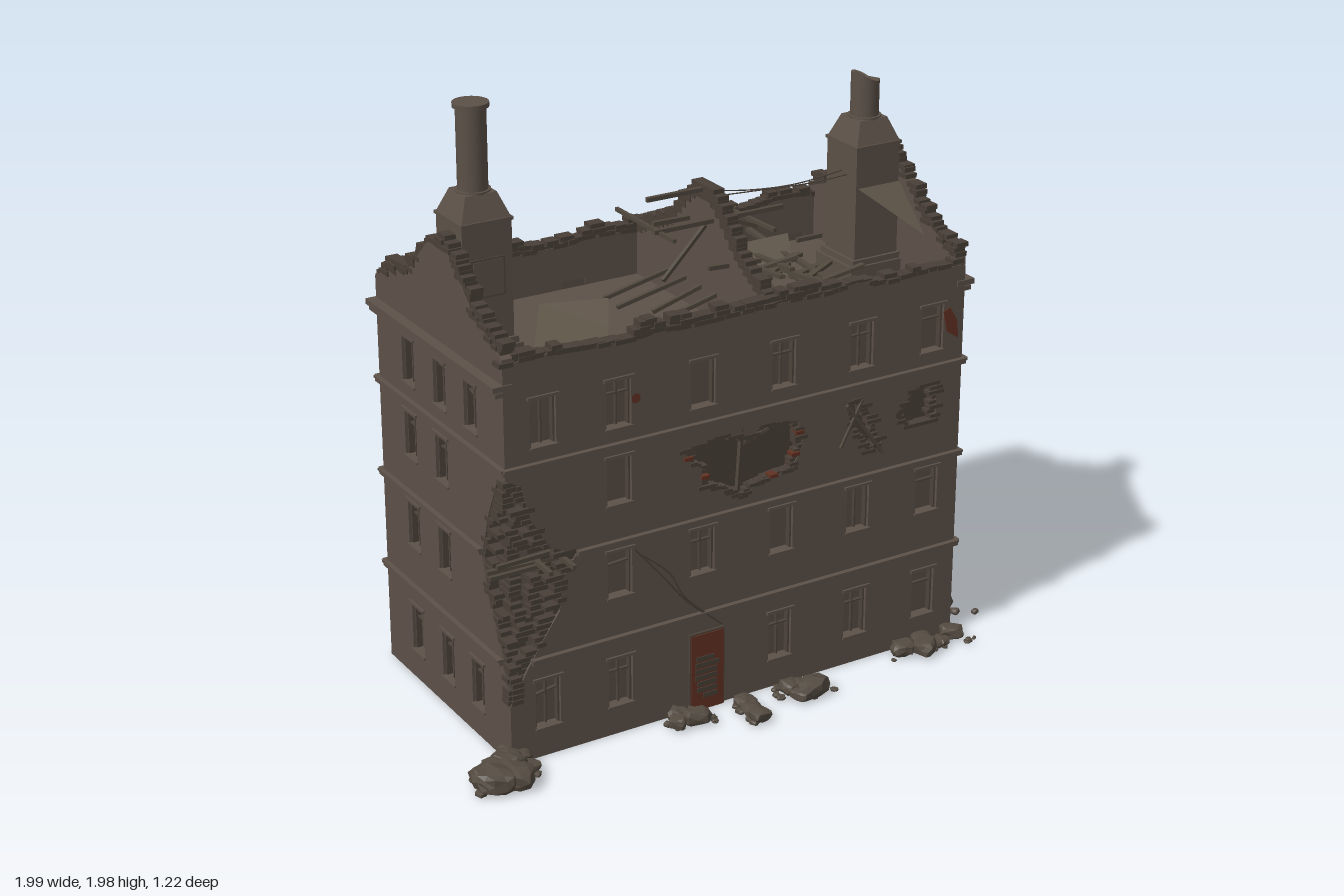
import * as THREE from 'three';
import { mergeGeometries } from 'three/addons/utils/BufferGeometryUtils.js';

const mat = (name, color, o = {}) => Object.assign(new THREE.MeshStandardMaterial({ color, ...o }), { name });

export function createModel() {
  const M = {
    wall: mat('plaster', 0x5c5148), brick: mat('bare brick', 0x483f37), pane: mat('window pane', 0x574c43),
    frame: mat('window frame', 0x4c423a), timber: mat('timber', 0x50483d), chimney: mat('chimney', 0x5b5047),
    rock: mat('rubble', 0x544b41, { flatShading: true }), sheet: mat('roof sheet', 0x5f5549, { side: THREE.DoubleSide }),
    rust: mat('rust', 0x623223), base: mat('foundation', 0x442218),
  };
  let seed = 11;
  const rnd = (a = 0, b = 1) => { seed = (seed * 16807) % 2147483647; return a + (b - a) * seed / 2147483647; };
  const root = new THREE.Group();
  root.name = 'ruinedTenement';
  const add = (parent, name, geo, m, x = 0, y = 0, z = 0) => {
    const mesh = new THREE.Mesh(geo, m);
    mesh.name = name; mesh.position.set(x, y, z); parent.add(mesh);
    return mesh;
  };
  const box = (w, h, d, x, y, z, rot = 0) => new THREE.BoxGeometry(w, h, d).rotateZ(rot).translate(x, y, z);
  const shapeOf = pts => new THREE.Shape(pts.map(p => new THREE.Vector2(p[0], p[1])));
  const slab = (shape, d) => new THREE.ExtrudeGeometry(shape, { depth: d, bevelEnabled: false });
  // straight bar between two points
  const bar = (a, b, w, h = w) => {
    const p = new THREE.Vector3(...a), q = new THREE.Vector3(...b);
    const m = new THREE.Matrix4().lookAt(q, p, new THREE.Vector3(0.01, 1, 0.02));
    return new THREE.BoxGeometry(w, h, p.distanceTo(q)).applyMatrix4(m)
      .translate((a[0] + b[0]) / 2, (a[1] + b[1]) / 2, (a[2] + b[2]) / 2);
  };
  // u position of a ragged edge at height y
  const edgeAt = (bite, y, fallback) => {
    for (let i = 0; i + 1 < bite.length; i++) {
      const [u0, y0] = bite[i], [u1, y1] = bite[i + 1];
      if ((y - y0) * (y - y1) <= 0 && y0 !== y1) return u0 + (u1 - u0) * (y - y0) / (y1 - y0);
    }
    return fallback;
  };

  // One facade: local u to the right, y up, outer face at z = 0
  const T = 0.04;
  function facade(name, pos, rot, u0, u1, top, left, right, windows, holes = []) {
    const g = new THREE.Group();
    g.name = name; g.position.set(...pos); g.rotation.y = rot; root.add(g);
    const shape = shapeOf([[u0, 0], [u1, 0], ...right, ...top, ...left]);
    const frames = [], panes = [], bricks = [], bands = [];
    for (const [u, y, w, h] of windows) {
      shape.holes.push(new THREE.Path([[-1, 0], [-1, 1], [1, 1], [1, 0]].map(c => new THREE.Vector2(u + c[0] * w / 2, y + c[1] * h))));
      panes.push(box(w, h, 0.006, u, y + h / 2, -0.034));
      for (const s of [-1, 1]) frames.push(box(0.006, h, 0.02, u + s * (w / 2 - 0.003), y + h / 2, -0.02));
      frames.push(box(w, 0.006, 0.02, u, y + h - 0.003, -0.02));
      // some glazing bars are missing or hang askew
      if (rnd() < 0.7) frames.push(box(w * 0.92, 0.005, 0.012, u, y + h * 0.7, -0.022, rnd() < 0.3 ? rnd(-0.3, 0.3) : 0));
      if (rnd() < 0.75) frames.push(box(0.005, h * 0.96, 0.012, u, y + h / 2, -0.022));
      bands.push(box(w + 0.02, 0.01, 0.014, u, y + h + 0.007, 0), box(w + 0.01, 0.006, 0.012, u, y - 0.003, 0));
    }
    // blasted holes with broken brick rims
    for (const pts of holes) {
      shape.holes.push(new THREE.Path(pts.map(p => new THREE.Vector2(...p))));
      pts.forEach((p, i) => {
        const q = pts[(i + 1) % pts.length], n = Math.ceil(Math.hypot(q[0] - p[0], q[1] - p[1]) / 0.018);
        for (let k = 0; k < n; k++) bricks.push(box(rnd(0.025, 0.06), 0.012, 0.03,
          p[0] + (q[0] - p[0]) * k / n, p[1] + (q[1] - p[1]) * k / n, -0.016 + rnd(-0.006, 0.006)));
      });
    }
    // ragged corner courses
    for (const [bite, s] of [[left, -1], [right, 1]]) {
      if (!bite.length) continue;
      const ys = bite.map(p => p[1]);
      for (let y = Math.min(...ys) + 0.01; y < Math.max(...ys); y += 0.019) {
        const e = edgeAt(bite, y, 0), room = Math.abs((s < 0 ? u0 : u1) - e);
        const w = Math.min(rnd(0.03, 0.09), room + 0.025);
        bricks.push(box(w, 0.015, 0.04, e + s * (w / 2 - 0.02), y, -0.024 + rnd(-0.004, 0.006)));
        if (room > 0.1) bricks.push(box(rnd(0.04, 0.08), 0.015, 0.04, e + s * 0.06, y, -0.05 + rnd(-0.006, 0.004)));
      }
    }
    for (const y of [0.33, 0.655, 0.975]) {
      const a = edgeAt(left, y, u0 - 0.01), b = edgeAt(right, y, u1 + 0.01);
      bands.push(box(b - a, 0.013, 0.024, (a + b) / 2, y, 0), box(b - a, 0.007, 0.034, (a + b) / 2, y + 0.01, 0));
    }
    // loose bricks along the broken top
    const crest = [[u1, top[0][1]], ...top, [u0, top[top.length - 1][1]]].map(p => [p[1], p[0]]);
    for (let u = u0 + 0.02; u < u1 - 0.01; u += 0.027) {
      const y = edgeAt(crest, u, 1.32), n = Math.floor(rnd(1, Math.abs(u) < 0.4 ? 3.9 : 2.4));
      for (let k = 0; k < n; k++) bricks.push(box(rnd(0.03, 0.055), 0.015, 0.042, u + rnd(-0.01, 0.01), y + k * 0.016, -0.02 + rnd(-0.005, 0.005)));
    }
    add(g, 'wall', slab(shape, T), M.wall, 0, 0, -T);
    add(g, 'windowPanes', mergeGeometries(panes), M.pane);
    add(g, 'windowFrames', mergeGeometries(frames), M.frame);
    add(g, 'bandsAndSills', mergeGeometries(bands), M.wall);
    add(g, 'brokenBricks', mergeGeometries(bricks), M.brick);
    return g;
  }

  const rows = [[0.1, 0.16], [0.475, 0.15], [0.785, 0.15], [1.035, 0.15]];
  const grid = (cols, skip, w = 0.085) => rows.flatMap(([y, h], r) =>
    cols.map((u, c) => [u, y, w, h, r + ':' + c]).filter(v => !skip.includes(v[4])));
  const cols = [-0.685, -0.43, -0.135, 0.155, 0.445, 0.715];
  const ragged = (u0, u1) => Array.from({ length: 17 }, (_, i) => [u1 + (u0 - u1) * i / 16, 1.315 + rnd(-0.015, 0.012)]);

  // Long facades
  const front = facade('frontFacade', [0, 0, 0.39], 0, -0.815, 0.835, ragged(-0.815, 0.835),
    [[-0.815, 0.95], [-0.76, 0.92], [-0.73, 0.8], [-0.67, 0.7], [-0.58, 0.655], [-0.63, 0.58], [-0.64, 0.48], [-0.71, 0.38], [-0.76, 0.3], [-0.815, 0.2]], [],
    grid(cols, ['0:2', '1:0', '2:0', '2:2', '2:3', '2:4', '2:5']),
    [[[-0.2, 0.9], [-0.18, 0.86], [-0.14, 0.83], [-0.14, 0.77], [-0.06, 0.74], [0.01, 0.7], [0.06, 0.73], [0.19, 0.75], [0.23, 0.82], [0.21, 0.91], [0.08, 0.92], [0.03, 0.89], [-0.05, 0.92]],
      [[0.42, 0.82], [0.48, 0.74], [0.53, 0.76], [0.49, 0.86], [0.45, 0.93], [0.39, 0.92]],
      [[0.58, 0.84], [0.63, 0.79], [0.74, 0.79], [0.74, 0.92], [0.66, 0.92]]]);
  facade('backFacade', [0, 0, -0.44], Math.PI, -0.835, 0.815, ragged(-0.835, 0.815),
    [[-0.835, 0.96], [-0.77, 0.92], [-0.71, 0.8], [-0.65, 0.68], [-0.7, 0.56], [-0.77, 0.44], [-0.835, 0.37]], [],
    grid(cols.map(u => -u).reverse(), ['1:0', '2:0']));

  // Gable ends, with u running toward the back on the right side
  const gable = (a, b, m) => [[b, 1.33], [m + 0.2, 1.42], [m + 0.09, 1.53], [m + 0.05, 1.56], [m - 0.05, 1.56], [m - 0.09, 1.53], [m - 0.2, 1.42], [a, 1.33]];
  const rightSide = facade('rightGable', [0.835, 0, 0], Math.PI / 2, -0.388, 0.438, gable(-0.388, 0.438, 0),
    [[-0.388, 0.97], [-0.27, 0.95], [-0.26, 0.8], [-0.19, 0.67], [-0.23, 0.55], [-0.27, 0.35], [-0.388, 0.34]],
    [[0.438, 0.36], [0.405, 0.45], [0.4, 0.62], [0.425, 0.66], [0.4, 0.8], [0.41, 0.95], [0.438, 0.97]],
    grid([-0.18, 0.02, 0.23], ['1:0', '2:0'], 0.08));
  const leftSide = facade('leftGable', [-0.815, 0, 0], -Math.PI / 2, -0.438, 0.388, gable(-0.438, 0.388, 0), [],
    [[0.388, 0.2], [0.34, 0.35], [0.27, 0.5], [0.23, 0.64], [0.28, 0.8], [0.34, 0.93], [0.388, 0.95]],
    grid([-0.23, -0.02, 0.18], ['1:2', '2:2'], 0.08));
  for (const [g, c] of [[rightSide, 0.025], [leftSide, -0.025]]) {
    add(g, 'corniceLower', box(0.83, 0.015, 0.04, c, 1.222, 0.005), M.wall);
    add(g, 'corniceUpper', box(0.84, 0.018, 0.065, c, 1.243, 0.002), M.wall);
  }

  // Brick core with cut corners in the damaged storeys
  const core = (y0, y1, fl, fr, br) => {
    const a = -0.774, b = 0.794, n = -0.399, f = 0.349;
    const s = shapeOf([[a + fl, -f], [b - fr, -f], [b, -f + fr], [b, -n - br], [b - br, -n], [a, -n], [a, -f + fl]]);
    add(root, 'brickCore', slab(s, y1 - y0).rotateX(-Math.PI / 2), M.brick, 0, y0, 0);
  };
  core(0.01, 0.33, 0.01, 0.01, 0.01);
  core(0.33, 0.655, 0.1, 0.05, 0.07);
  core(0.655, 0.97, 0.1, 0.05, 0.07);
  core(0.97, 1.15, 0.01, 0.01, 0.01);
  add(root, 'atticFloor', box(1.57, 0.012, 0.75, 0.01, 1.156, -0.025), M.wall);
  add(root, 'foundation', box(1.57, 0.012, 0.75, 0.01, 0.008, -0.025), M.base);

  // Cross wall in the attic
  const cross = new THREE.Group();
  cross.name = 'crossWall'; cross.position.x = 0.14; cross.rotation.y = Math.PI / 2; root.add(cross);
  add(cross, 'crossWallBody', slab(shapeOf([[-0.35, 1.15], [0.4, 1.15], ...gable(-0.35, 0.4, 0).map(p => [p[0], p[1] - 0.02])]), 0.035), M.wall, 0, 0, -0.0375);
  const loose = [];
  for (let u = -0.34; u < 0.4; u += 0.027) {
    const y = edgeAt(gable(-0.35, 0.4, 0).map(p => [p[1], p[0]]), u, 1.33) - 0.015;
    for (let k = 0; k < rnd(1, 3); k++) loose.push(box(0.045, 0.015, 0.04, u, y + k * 0.016, -0.02));
  }
  add(cross, 'crossWallBricks', mergeGeometries(loose), M.brick);

  // Chimneys
  for (const [name, x, broken] of [['leftChimney', -0.693, false], ['rightChimney', 0.707, true]]) {
    const g = new THREE.Group();
    g.name = name; g.position.x = x; root.add(g);
    add(g, 'plinth', box(0.21, 0.08, 0.2, 0, 1.2, 0), M.chimney);
    add(g, 'plinthStep', box(0.188, 0.02, 0.184, 0, 1.25, 0), M.chimney);
    add(g, 'stack', box(0.165, 0.42, 0.165, 0, 1.42, 0), M.chimney);
    add(g, 'collar', box(0.174, 0.01, 0.174, 0, 1.632, 0), M.chimney);
    const taper = new THREE.CylinderGeometry(0.052 * Math.SQRT2, 0.082 * Math.SQRT2, 0.075, 4).toNonIndexed();
    taper.computeVertexNormals();
    add(g, 'taper', taper.rotateY(Math.PI / 4), M.chimney, 0, 1.673, 0);
    add(g, 'potRing', new THREE.CylinderGeometry(0.054, 0.054, 0.01, 24), M.chimney, 0, 1.71, 0);
    const pot = new THREE.CylinderGeometry(0.046, 0.046, broken ? 0.13 : 0.27, 24);
    if (broken) {
      const p = pot.attributes.position;
      for (let i = 0; i < p.count; i++) if (p.getY(i) > 0) p.setY(i, 0.066 - p.getX(i) * 0.4 + Math.sin(p.getZ(i) * 90) * 0.006);
    } else add(g, 'potLip', new THREE.CylinderGeometry(0.055, 0.055, 0.014, 24), M.chimney, 0, 1.972, 0);
    add(g, 'pot', pot, M.chimney, 0, broken ? 1.775 : 1.84, 0);
    for (const s of broken ? [] : [-1, 1]) {
      add(g, 'panelFrame', box(0.112, 0.122, 0.006, 0, 1.46, s * 0.083), M.frame);
      add(g, 'panel', box(0.1, 0.11, 0.008, 0, 1.46, s * 0.084), M.chimney);
    }
  }

  // Collapsed roof timbers
  const sticks = [
    bar([-0.1, 1.57, 0], [0.13, 1.57, 0], 0.014), bar([-0.11, 1.485, 0.06], [0.36, 1.485, 0.06], 0.014),
    bar([-0.03, 1.455, -0.08], [0.28, 1.45, -0.08], 0.014), bar([-0.09, 1.33, 0.08], [0.08, 1.47, 0.05], 0.012),
    bar([0.12, 1.49, 0.02], [0.29, 1.42, 0.02], 0.012), bar([0.03, 1.37, 0.15], [0.22, 1.36, 0.15], 0.014),
    bar([-0.09, 1.48, -0.2], [-0.09, 1.48, 0.15], 0.012), bar([0.2, 1.48, -0.2], [0.24, 1.47, 0.2], 0.012)];
  for (let i = 0; i < 6; i++) sticks.push(bar([-0.17 + rnd(0, 0.12), 1.19, -0.2 + i * 0.09], [0.12, 1.25, -0.19 + i * 0.09], 0.013));
  for (let i = 0; i < 30; i++) {
    const x = rnd(0.22, 0.55), z = rnd(-0.28, 0.23), a = i % 2 ? rnd(-0.3, 0.3) : rnd(1.3, 1.9), l = rnd(0.08, 0.18);
    const dx = Math.cos(a) * l * 0.8, dz = Math.sin(a) * l, y = rnd(1.18, 1.25);
    sticks.push(bar([x - dx, y, z - dz], [x + dx, y + rnd(-0.03, 0.05), z + dz], 0.02, 0.012));
  }
  for (const z of [-0.33, 0.24]) for (const x of [-0.72, 0.73]) sticks.push(bar([x - 0.05, 1.19, z], [x + 0.05, 1.19, z], 0.014));
  // joists sticking out of the broken corners
  for (const [y, l] of [[0.64, 0.3], [0.632, 0.2], [0.668, 0.24]]) sticks.push(bar([-0.87 + rnd(0, 0.05), y, 0.33 + rnd(0, 0.05)], [-0.87 + l, y, 0.36], 0.013));
  for (const x of [-0.7, -0.62]) sticks.push(bar([x, 0.65, 0.1], [x, 0.645, 0.45], 0.014));
  sticks.push(bar([0, 0.69, 0.37], [0.005, 0.93, 0.385], 0.012), bar([0.005, 0.87, 0.375], [0.1, 0.91, 0.39], 0.01),
    bar([0.39, 0.92, 0.395], [0.53, 0.73, 0.395], 0.01), bar([0.45, 0.93, 0.395], [0.37, 0.78, 0.395], 0.008));
  add(root, 'brokenTimbers', mergeGeometries(sticks), M.timber);

  // Fallen roof sheets
  const sheet = (name, ...pts) => {
    const g = new THREE.BufferGeometry().setFromPoints(pts.flatMap((p, i) => i < 2 ? [] : [pts[0], pts[i - 1], p]).map(p => new THREE.Vector3(...p)));
    g.computeVertexNormals();
    add(root, name, g, M.sheet);
  };
  sheet('fallenSheet', [-0.35, 1.2, -0.24], [-0.53, 1.17, 0.05], [-0.25, 1.19, 0.02], [-0.15, 1.21, -0.15]);
  sheet('foldedSheet', [-0.53, 1.17, 0.05], [-0.57, 1.2, 0.18], [-0.37, 1.17, 0.22], [-0.25, 1.19, 0.02]);
  sheet('tornSheet', [0.37, 1.26, -0.24], [0.3, 1.21, -0.02], [0.46, 1.22, -0.01], [0.57, 1.27, -0.22]);
  sheet('leaningSheet', [0.63, 1.5, 0.085], [0.79, 1.36, 0.23], [0.79, 1.5, 0.085]);

  // Hanging wires and the fallen cable on the front
  const wire = (pts, r, name) => add(root, name, new THREE.TubeGeometry(new THREE.CatmullRomCurve3(pts.map(p => new THREE.Vector3(...p))), 24, r, 6), M.frame);
  wire([[0.13, 1.56, 0], [0.28, 1.535, 0], [0.45, 1.525, 0], [0.63, 1.54, 0]], 0.002, 'wire');
  wire([[0.13, 1.55, 0.03], [0.3, 1.54, 0.03], [0.5, 1.53, 0.03], [0.64, 1.535, 0.03]], 0.002, 'wire');
  wire([[-0.38, 0.62, 0.395], [-0.28, 0.5, 0.4], [-0.2, 0.4, 0.4], [-0.07, 0.285, 0.4]], 0.003, 'fallenCable');
  wire([[-0.36, 0.6, 0.395], [-0.26, 0.51, 0.4], [-0.21, 0.42, 0.4], [-0.07, 0.285, 0.4]], 0.003, 'fallenCable');

  // Door, rust stains and rusty bricks in the blast hole
  add(front, 'doorFrame', box(0.128, 0.272, 0.01, -0.122, 0.136, 0.003), M.frame);
  add(front, 'door', box(0.12, 0.266, 0.01, -0.122, 0.133, 0.006), M.rust);
  for (let i = 0; i < 7; i++) add(front, 'doorBricks', box(rnd(0.05, 0.09), 0.016, 0.012, -0.122 + rnd(-0.01, 0.01), 0.05 + i * 0.022, 0.008), M.brick);
  for (const [u, y] of [[-0.19, 0.875], [-0.13, 0.8], [0.2, 0.8], [0.215, 0.87], [0.12, 0.745]]) add(front, 'rustyBrick', box(0.03, 0.012, 0.03, u, y, -0.007), M.rust);
  add(front, 'rustStain', slab(shapeOf([[0.755, 1.16], [0.77, 1.09], [0.815, 1.06], [0.81, 1.12], [0.78, 1.17]]), 0.003), M.rust);
  add(front, 'rustSpot', new THREE.CircleGeometry(0.016, 10), M.rust, -0.372, 1.115, 0.002);
  add(rightSide, 'rustSpot', new THREE.CircleGeometry(0.022, 10), M.rust, 0.08, 0.9, 0.002);

  // Blocky rubble heaps: x, z, half spread in x and z, stone size, count
  const rock = (x, z, r) => {
    const g = new THREE.IcosahedronGeometry(1, 1), p = g.attributes.position, k = rnd(1, 9);
    const s = [r * rnd(0.9, 1.3), r * rnd(0.5, 0.75), r * rnd(0.8, 1.1)];
    for (let i = 0; i < p.count; i++) {
      const v = [p.getX(i), p.getY(i), p.getZ(i)];
      const n = 0.88 + 0.1 * Math.sin(k * (v[0] * 3.1 + v[1] * 2.3 + v[2] * 4.7) + k);
      p.setXYZ(i, ...v.map((c, j) => Math.sign(c) * Math.abs(c) ** 0.65 * n * s[j]));
    }
    return g.rotateY(rnd(0, 6)).translate(x, s[1] * 0.97, z);
  };
  const heaps = [[-0.89, 0.44, 0.05, 0.06, 0.065, 8], [-0.79, 0.4, 0.03, 0.06, 0.045, 4], [-0.22, 0.45, 0.05, 0.03, 0.045, 4],
    [-0.02, 0.5, 0.025, 0.06, 0.04, 5], [0.17, 0.48, 0.05, 0.04, 0.055, 5], [0.71, 0.44, 0.11, 0.03, 0.042, 8],
    [0.9, 0.22, 0.025, 0.06, 0.05, 6], [0.88, -0.25, 0.015, 0.05, 0.035, 4], [0.74, -0.53, 0.06, 0.04, 0.06, 8], [0.86, -0.42, 0.02, 0.02, 0.03, 2]];
  for (const [x, z, w, d, r, n] of heaps) {
    const stones = [];
    for (let i = 0; i < n; i++) stones.push(rock(x + rnd(-w, w), z + rnd(-d, d), r * rnd(0.6, 1.1)));
    for (let i = 0; i < n * 2; i++) stones.push(rock(x + rnd(-w, w) * 1.5, z + rnd(-d, d) * 1.5, rnd(0.008, 0.018)));
    add(root, 'rubble', mergeGeometries(stones), M.rock);
  }
  add(root, 'strayStones', mergeGeometries([rock(-0.98, 0.5, 0.018), rock(0.985, 0.33, 0.013), rock(0.28, 0.52, 0.012)]), M.rock);
  return root;
}
